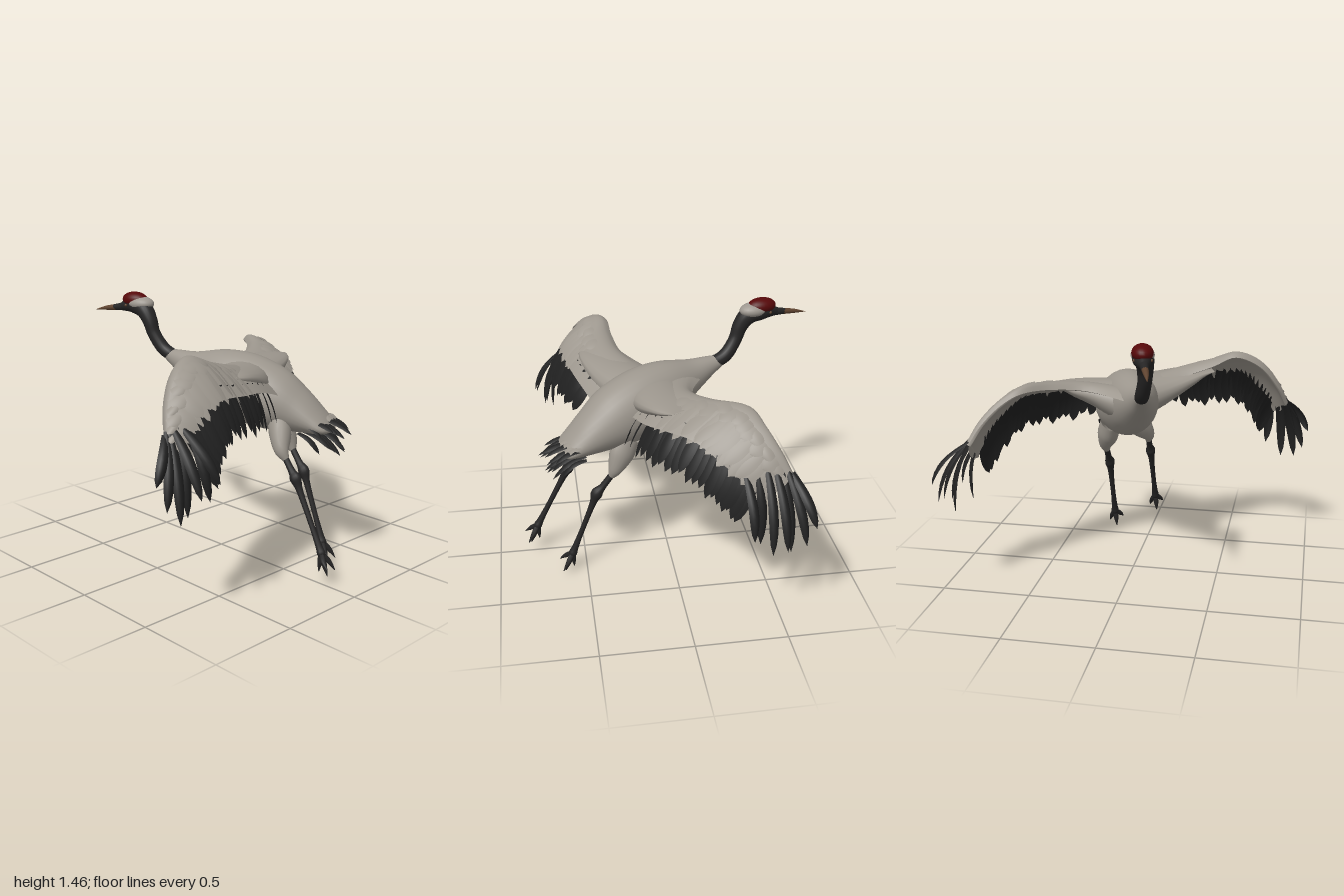
import * as THREE from 'three';
import { mergeGeometries } from 'three/addons/utils/BufferGeometryUtils.js';

const V = (p) => new THREE.Vector3(...p);
const mat = (name, color) => new THREE.MeshStandardMaterial({ name, color, side: THREE.DoubleSide });

// Surface from a function f(u, v) -> Vector3, optionally closed around v
function grid(f, nu, nv, closed = false) {
  const pos = [], idx = [], cols = closed ? nv : nv + 1;
  for (let i = 0; i <= nu; i++)
    for (let j = 0; j < cols; j++) pos.push(...f(i / nu, j / nv).toArray());
  for (let i = 0; i < nu; i++)
    for (let j = 0; j < nv; j++) {
      const k = (j + 1) % cols;
      const a = i * cols + j, b = a + cols, c = i * cols + k, d = c + cols;
      idx.push(a, b, c, c, b, d);
    }
  const g = new THREE.BufferGeometry();
  g.setAttribute('position', new THREE.Float32BufferAttribute(pos, 3));
  g.setIndex(idx);
  g.computeVertexNormals();
  return g;
}

// Rounded limb through points [x, y, z, heightRadius, widthRadius]
function loft(pts, nu = 24, nv = 16) {
  const path = new THREE.CatmullRomCurve3(pts.map((p) => V(p.slice(0, 3))), false, 'catmullrom', 0.5);
  const radii = new THREE.CatmullRomCurve3(pts.map((p) => new THREE.Vector3(p[3], p[4] ?? p[3], 0)), false, 'catmullrom', 0.5);
  return grid((u, v) => {
    const t = path.getTangent(u), r = radii.getPoint(u);
    const side = t.clone().cross(new THREE.Vector3(0, 1, 0)).normalize();
    const up = side.clone().cross(t);
    return path.getPoint(u)
      .addScaledVector(side, Math.cos(v * Math.PI * 2) * r.y)
      .addScaledVector(up, Math.sin(v * Math.PI * 2) * r.x);
  }, nu, nv, true);
}

// Thin bowed feather with a cambered vane and a rounded point
function feather(base, tip, width, normal, bow = 0.02, camber = 0.006) {
  const side = tip.clone().sub(base).cross(normal).normalize();
  return grid((u, v) => {
    const w = width * (0.55 + 0.45 * Math.sin(u * 2.2)) * Math.pow(Math.max(0, 1 - u ** 4), 0.6);
    const s = v * 2 - 1;
    return base.clone().lerp(tip, u)
      .addScaledVector(normal, bow * Math.sin(u * Math.PI) + camber * (1 - s * s) * w / width)
      .addScaledVector(side, s * w * 0.5);
  }, 8, 4);
}

// Each wing station: leading edge, crest, covert edge, flight feather tip
const leftWing = {
  sign: 1,
  twist: 0.6,
  shoulder: [[0.12, 1.0, -0.06, 0.14, 0.17], [0.25, 1.055, 0.12, 0.09, 0.16], [0.34, 1.11, 0.28, 0.045, 0.13], [0.38, 1.14, 0.4, 0.004, 0.08]],
  stations: [
    [[-0.02, 1.04, 0.03], [0.18, 1.11, -0.03], [0.4, 0.96, -0.08], [0.47, 0.86, -0.06]],
    [[0.2, 1.12, 0.25], [0.33, 1.16, 0.22], [0.5, 1.04, 0.18], [0.56, 0.87, 0.2]],
    [[0.26, 1.18, 0.42], [0.38, 1.2, 0.4], [0.54, 1.06, 0.36], [0.61, 0.87, 0.36]],
    [[0.28, 1.235, 0.55], [0.38, 1.24, 0.55], [0.56, 1.07, 0.53], [0.64, 0.88, 0.53]],
    [[0.34, 1.17, 0.69], [0.42, 1.18, 0.68], [0.56, 1.03, 0.63], [0.66, 0.82, 0.61]],
    [[0.41, 1.04, 0.79], [0.47, 1.05, 0.78], [0.56, 0.95, 0.72], [0.67, 0.72, 0.66]],
    [[0.49, 0.92, 0.85], [0.52, 0.92, 0.83], [0.57, 0.87, 0.78], [0.7, 0.64, 0.7]],
  ],
  tips: [[0.58, 0.73, 0.98], [0.62, 0.61, 0.95], [0.66, 0.54, 0.9], [0.72, 0.66, 0.82], [0.62, 0.55, 0.82], [0.73, 0.72, 0.71], [0.67, 0.62, 0.72]],
};
const rightWing = {
  sign: -1,
  twist: -0.45,
  shoulder: [[0.06, 1.0, -0.02, 0.13, 0.17], [0.06, 1.045, -0.2, 0.085, 0.16], [0.02, 1.08, -0.36, 0.042, 0.13], [-0.03, 1.1, -0.46, 0.004, 0.08]],
  stations: [
    [[-0.22, 1.06, 0.05], [0.02, 1.1, -0.02], [0.26, 0.97, -0.15], [0.33, 0.86, -0.2]],
    [[-0.11, 1.09, -0.23], [0.0, 1.12, -0.29], [0.18, 1.0, -0.38], [0.24, 0.84, -0.4]],
    [[-0.2, 1.115, -0.41], [-0.1, 1.135, -0.45], [0.08, 1.01, -0.5], [0.14, 0.83, -0.54]],
    [[-0.36, 1.125, -0.54], [-0.26, 1.145, -0.56], [-0.04, 1.01, -0.62], [0.02, 0.82, -0.66]],
    [[-0.42, 1.065, -0.65], [-0.34, 1.08, -0.66], [-0.14, 0.95, -0.7], [-0.1, 0.74, -0.74]],
    [[-0.48, 0.97, -0.74], [-0.41, 0.98, -0.75], [-0.25, 0.86, -0.77], [-0.2, 0.65, -0.78]],
    [[-0.53, 0.87, -0.8], [-0.48, 0.86, -0.81], [-0.37, 0.76, -0.81], [-0.27, 0.58, -0.82]],
  ],
  tips: [[-0.61, 0.66, -0.985], [-0.57, 0.55, -0.97], [-0.51, 0.47, -0.9], [-0.47, 0.53, -0.98], [-0.4, 0.5, -0.96], [-0.36, 0.5, -0.85], [-0.31, 0.57, -0.93]],
};

function buildWing(name, { sign, twist, shoulder, stations, tips }, light, dark) {
  const wing = new THREE.Group();
  wing.name = name;
  const [lead, crest, edge, end] = [0, 1, 2, 3].map(
    (k) => new THREE.CatmullRomCurve3(stations.map((s) => V(s[k])), false, 'catmullrom', 0.5));
  const skin = (u, v) => new THREE.QuadraticBezierCurve3(
    lead.getPoint(u),
    crest.getPoint(u).multiplyScalar(1.7).addScaledVector(lead.getPoint(u), -0.35).addScaledVector(edge.getPoint(u), -0.35),
    edge.getPoint(u)).getPoint(v);
  // Outward normal of a strip running along the given chord
  const normalTo = (u, chord) => lead.getTangent(u).cross(chord).normalize().multiplyScalar(sign);
  const normalAt = (u) => normalTo(u, edge.getPoint(u).sub(lead.getPoint(u)));
  const add = (part, geos, m) => {
    const mesh = new THREE.Mesh(mergeGeometries(geos), m);
    mesh.name = part;
    wing.add(mesh);
  };
  // Arm: thick front, thin rear, with a full shoulder flowing into the body
  add('wingArm', [0.014, -0.022].map((k) => grid((u, v) => skin(u, v).addScaledVector(
    normalAt(u), k * Math.sin(Math.PI * Math.sqrt(v))), 32, 12)), light);
  add('shoulder', [loft(shoulder, 20, 20)], light);
  // Overlapping rows of coverts
  const coverts = [];
  for (const [v0, v1, n, lift] of [[0.35, 0.68, 15, 0.016], [0.58, 1.07, 18, 0.01]])
    for (let i = 0; i < n; i++) {
      const u = 0.26 + 0.72 * i / (n - 1), nrm = normalAt(u);
      const reach = v1 + 0.06 * Math.sin(i * 2.7);
      coverts.push(feather(skin(u, v0).addScaledVector(nrm, 0.008), skin(u, Math.min(reach, 1)).addScaledVector(nrm, lift)
        .addScaledVector(end.getPoint(u).sub(edge.getPoint(u)), Math.max(0, reach - 1) * 1.5), 0.085, nrm, 0.006, 0.004));
    }
  add('coverts', coverts, light);
  // Dark secondaries along the trailing edge
  const secondaries = [];
  for (let i = 0; i < 20; i++) {
    const u = 0.1 + 0.8 * i / 19, base = skin(u, 0.85), tip = end.getPoint(u);
    tip.y += 0.02 * Math.sin(i * 2.3);
    secondaries.push(feather(base, tip, 0.075, normalTo(u, tip.clone().sub(base)), 0.01));
  }
  add('secondaries', secondaries, dark);
  // Spread primary fingers, turned a little about their shafts
  const face = normalAt(0.95).add(new THREE.Vector3(twist, 0, 0)).normalize();
  add('primaries', tips.map((t, i) => feather(
    skin(0.98 - i * 0.02, 0.1 + i * 0.14), V(t), 0.062, face, 0.03, 0.022)), dark);
  return wing;
}

export function createModel() {
  const bird = new THREE.Group();
  bird.name = 'crane';
  const plumage = mat('pale plumage', 0x9c968d);
  const dark = mat('dark feather', 0x212121);
  const skinDark = mat('dark skin', 0x262525);
  const red = mat('red crown', 0x560809);
  const pale = mat('cheek white', 0x9e9890);
  const horn = mat('beak horn', 0x614531);
  const add = (name, geo, m, parent = bird) => {
    const mesh = new THREE.Mesh(geo, m);
    mesh.name = name;
    parent.add(mesh);
    return mesh;
  };

  // Body
  add('body', loft([
    [-0.34, 1.125, 0.11, 0.03], [-0.25, 1.095, 0.09, 0.062, 0.055], [-0.15, 1.06, 0.06, 0.1, 0.09],
    [0, 1.02, 0, 0.166, 0.145], [0.15, 0.975, -0.06, 0.195, 0.17], [0.3, 0.925, -0.12, 0.18, 0.17],
    [0.42, 0.875, -0.17, 0.13, 0.145], [0.52, 0.83, -0.205, 0.08, 0.125], [0.6, 0.795, -0.23, 0.035, 0.1],
    [0.63, 0.78, -0.24, 0.002, 0.03]], 40, 28), plumage);

  // Neck and head
  add('neck', loft([
    [-0.26, 1.112, 0.095, 0.035], [-0.32, 1.125, 0.105, 0.038], [-0.372, 1.16, 0.12, 0.039], [-0.42, 1.235, 0.14, 0.038],
    [-0.447, 1.31, 0.147, 0.044], [-0.495, 1.37, 0.15, 0.052], [-0.57, 1.39, 0.155, 0.052],
    [-0.63, 1.38, 0.172, 0.034], [-0.66, 1.375, 0.18, 0.022]], 40, 20), skinDark);
  const ball = (name, p, s, m) => {
    const b = add(name, new THREE.SphereGeometry(1, 24, 16), m);
    b.position.set(...p);
    b.scale.set(...s);
    b.rotation.y = 0.2;
  };
  ball('cheekPatch', [-0.524, 1.4, 0.148], [0.086, 0.042, 0.061], pale);
  ball('crown', [-0.568, 1.42, 0.155], [0.084, 0.045, 0.056], red);
  for (const s of [1, -1]) ball('eye', [-0.603 + s * 0.01, 1.388, 0.163 + s * 0.044], [0.008, 0.008, 0.006], horn);
  add('beakBase', loft([[-0.62, 1.378, 0.17, 0.03], [-0.67, 1.37, 0.183, 0.022], [-0.715, 1.364, 0.196, 0.017]], 8, 12), skinDark);
  add('beakTip', loft([[-0.705, 1.365, 0.193, 0.018], [-0.78, 1.354, 0.213, 0.012], [-0.85, 1.34, 0.23, 0.001]], 10, 12), horn);

  // Wings
  bird.add(buildWing('leftWing', leftWing, plumage, dark), buildWing('rightWing', rightWing, plumage, dark));

  // Tail: a wide upper and a narrower lower layer of dark feathers under a pale fan
  const up = V([0.35, 0.93, 0]).normalize(), tailDark = [], tailPale = [];
  for (const [drop, spread, length] of [[0, 0.11, 0.73], [0.1, 0.085, 0.7]])
    for (let i = 0; i < 8; i++) {
      const a = (i - 3.5) / 3.5, base = V([0.48, 0.84 - drop * 0.6 - 0.02 * a * a, -0.21 + 0.09 * a]);
      const tip = V([length - 0.08 * a * a + 0.012 * Math.sin(i * 2.4), 0.775 - drop - 0.02 * Math.sin(i * 1.9), -0.237 + spread * a]);
      tailDark.push(feather(base, tip, 0.055, up, 0.02, 0.012));
      if (!drop) tailPale.push(feather(base.clone().addScaledVector(up, 0.02),
        base.clone().lerp(tip, 0.62).addScaledVector(up, 0.012), 0.06, up));
    }
  add('tailFeathers', mergeGeometries(tailDark), dark);
  add('tailCoverts', mergeGeometries(tailPale), plumage);

  // Legs: thigh, shank with knobbly joint, toes
  const leg = (name, z, hipZ, hip, shin, knee, ankle) => {
    const g = new THREE.Group();
    g.name = name;
    bird.add(g);
    const mid = (a, b, t) => [a[0] + (b[0] - a[0]) * t, a[1] + (b[1] - a[1]) * t];
    add('thigh', loft([[...hip, hipZ, 0.075, 0.055], [...mid(hip, shin, 0.4), (z + hipZ) / 2, 0.075, 0.062],
      [...mid(hip, shin, 0.75), z, 0.045, 0.042], [...shin, z, 0.018]], 16, 16), plumage, g);
    add('shank', loft([[...mid(hip, shin, 0.9), z, 0.018], [...mid(shin, knee, 0.6), z, 0.02], [...knee, z, 0.034, 0.03],
      [...mid(knee, ankle, 0.16), z, 0.019], [...mid(knee, ankle, 0.6), z, 0.015], [...mid(knee, ankle, 0.9), z, 0.019],
      [...ankle, z, 0.024], [...mid(knee, ankle, 1.06), z, 0.012]], 36, 12), skinDark, g);
    for (const [dx, dy, dz] of [[0.075, -0.06, 0.04], [0.045, -0.118, 0], [0.06, -0.09, -0.045], [-0.005, -0.1, 0.012]])
      add('toe', loft([[...ankle, z, 0.016], [ankle[0] + dx * 0.5, ankle[1] + dy * 0.5, z + dz * 0.65, 0.014],
        [ankle[0] + dx, ankle[1] + dy, z + dz, 0.002]], 8, 8), skinDark, g);
  };
  leg('leftLeg', 0, -0.085, [0.36, 0.85], [0.505, 0.64], [0.575, 0.55], [0.77, 0.175]);
  leg('rightLeg', -0.235, -0.19, [0.24, 0.82], [0.345, 0.61], [0.43, 0.505], [0.58, 0.119]);

  return bird;
}
